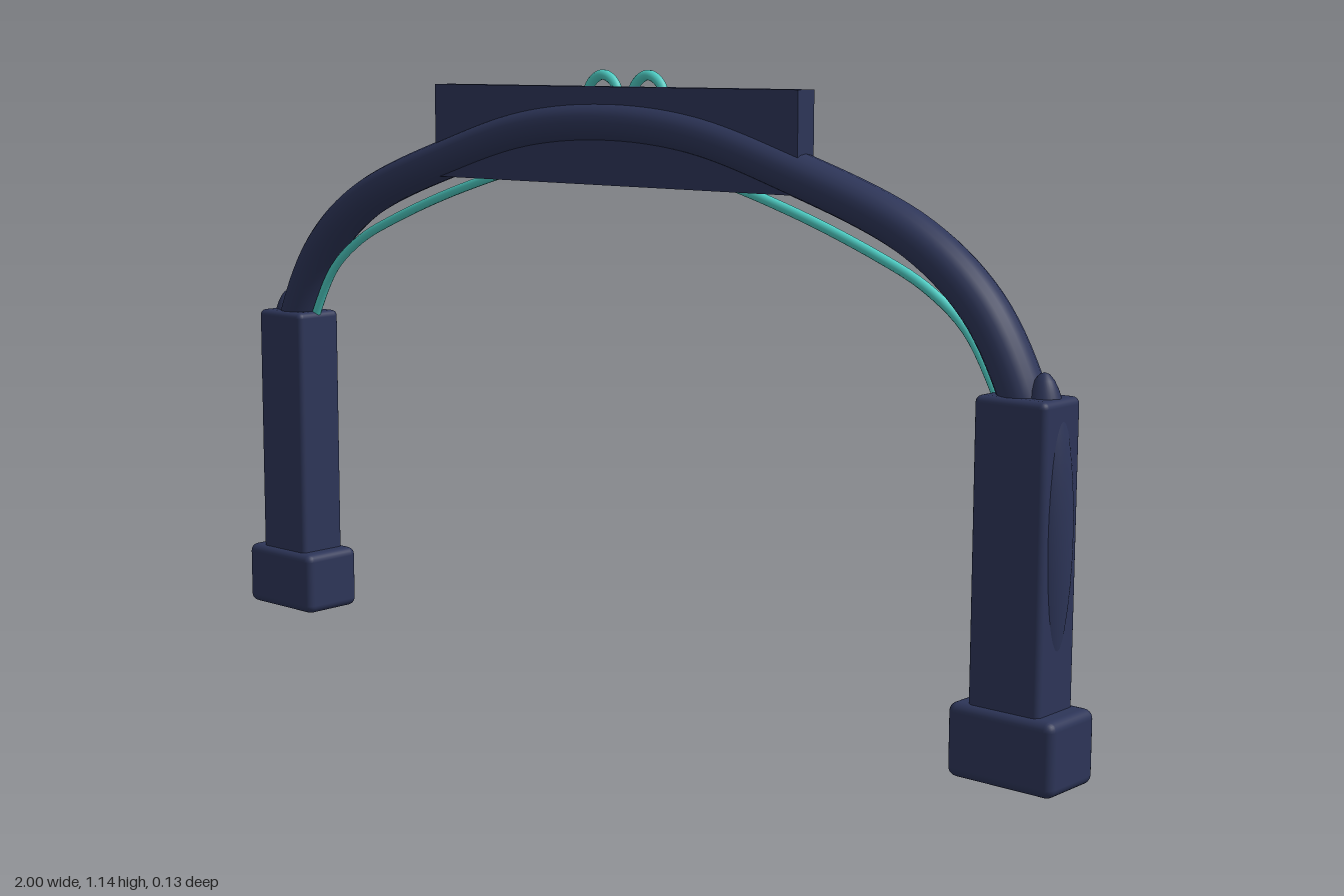
import * as THREE from 'three';
import { RoundedBoxGeometry } from 'three/addons/geometries/RoundedBoxGeometry.js';

const navy = new THREE.MeshStandardMaterial({ color: 0x2d3558 });
navy.name = 'navy';
const teal = new THREE.MeshStandardMaterial({ color: 0x4ecdc4 });
teal.name = 'teal';

const add = (parent, name, geometry, material, x = 0, y = 0, z = 0) => {
  const mesh = new THREE.Mesh(geometry, material);
  mesh.name = name;
  mesh.position.set(x, y, z);
  parent.add(mesh);
  return mesh;
};

const curve = (points) => new THREE.CatmullRomCurve3(points.map(([x, y]) => new THREE.Vector3(x, y, 0)));

// Curve through the given right-hand points and their mirror image
const mirroredCurve = (half) =>
  curve([...half.map(([x, y]) => [-x, y]), ...half.filter(([x]) => x > 0).reverse()]);

export function createModel() {
  const model = new THREE.Group();
  model.name = 'archGate';

  // Feet, pillars and their bulging outer pads
  for (const [side, s] of [['left', 1], ['right', -1]]) {
    const leg = new THREE.Group();
    leg.name = side + 'Leg';
    add(leg, 'foot', new RoundedBoxGeometry(0.2, 0.125, 0.132, 3, 0.016), navy, s * 0.9, 0.0625);
    add(leg, 'pillar', new RoundedBoxGeometry(0.135, 0.54, 0.106, 3, 0.012), navy, s * 0.898, 0.36);
    const pad = add(leg, 'outerPad', new THREE.SphereGeometry(1, 32, 20), navy, s * 0.929, 0.41);
    pad.scale.set(0.052, 0.26, 0.05);
    model.add(leg);
  }

  // Main arch, slightly deeper than it is thick
  const archPath = mirroredCurve([
    [0.91, 0.56], [0.885, 0.64], [0.81, 0.765], [0.68, 0.868], [0.4, 0.972], [0.2, 1.025], [0, 1.041],
  ]);
  add(model, 'arch', new THREE.TubeGeometry(archPath, 96, 0.038, 20), navy).scale.z = 1.14;

  // Thin light strip under the arch
  const stripPath = mirroredCurve([
    [0.86, 0.58], [0.836, 0.635], [0.78, 0.725], [0.7, 0.787], [0.6, 0.833], [0.4, 0.904], [0.2, 0.955], [0, 0.97],
  ]);
  add(model, 'lightStrip', new THREE.TubeGeometry(stripPath, 96, 0.009, 10), teal);

  // Sign board through the crown of the arch
  add(model, 'signBoard', new THREE.BoxGeometry(0.894, 0.178, 0.044), navy, 0, 1.016, 0);

  // Pair of pinched loops on the back
  const loopPath = curve([
    [-0.014, 0.95], [-0.02, 0.962], [-0.016, 0.982], [-0.036, 1.03], [-0.042, 1.07], [-0.03, 1.11], [0, 1.126],
    [0.03, 1.11], [0.042, 1.07], [0.036, 1.03], [0.016, 0.982], [0.02, 0.962], [0.014, 0.95],
  ]);
  const loopGeometry = new THREE.TubeGeometry(loopPath, 64, 0.0095, 10);
  for (const [side, s] of [['left', 1], ['right', -1]]) {
    const loop = new THREE.Group();
    loop.name = side + 'Loop';
    add(loop, 'loopTube', loopGeometry, teal);
    for (const e of [-1, 1]) add(loop, 'loopEnd', new THREE.SphereGeometry(0.0095, 10, 8), teal, e * 0.014, 0.95);
    loop.position.set(s * 0.056, 0, -0.036);
    model.add(loop);
  }
  return model;
}
